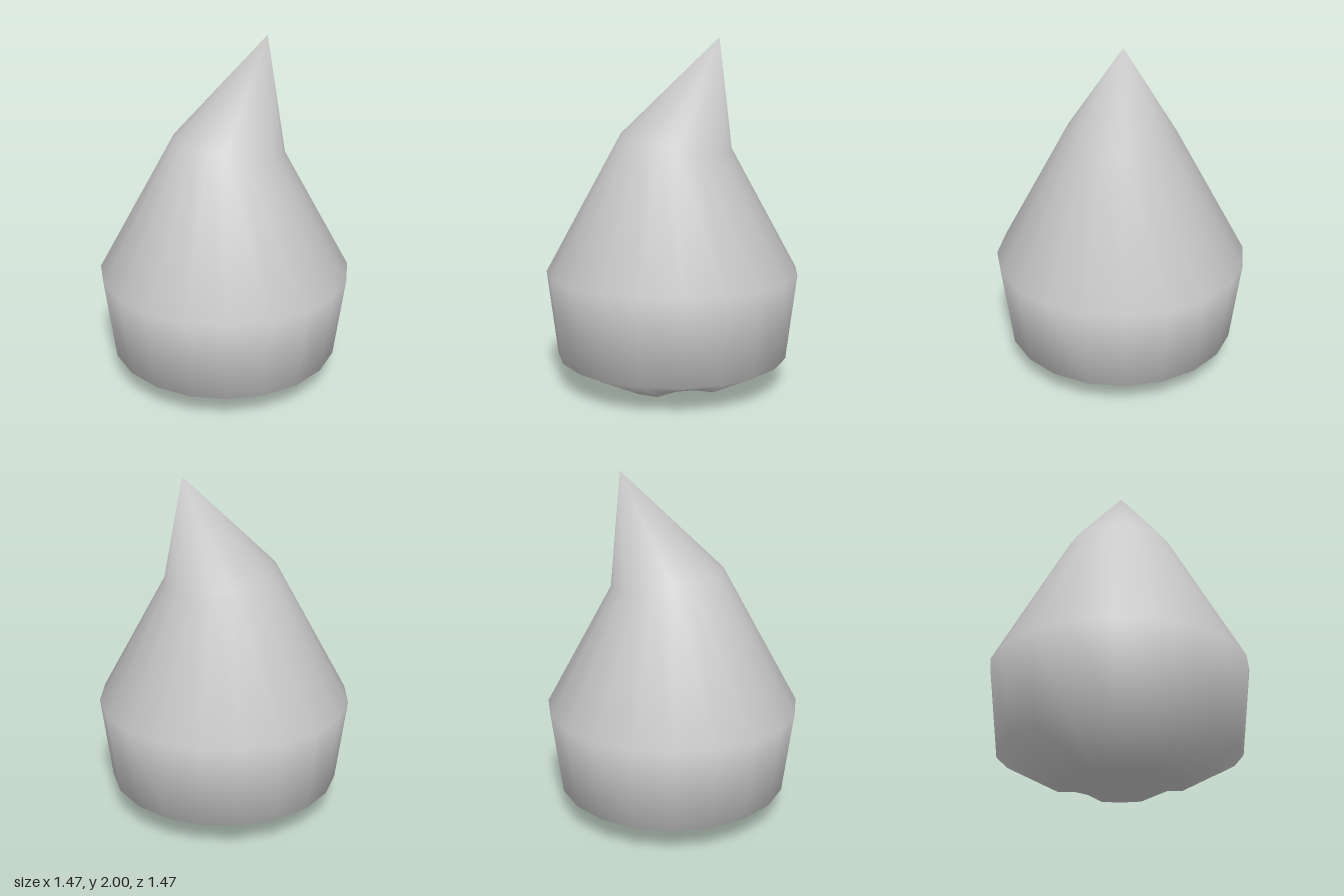
import * as THREE from 'three';

const SIDES = 20;

// Each ring maps an angle to [radius, height]
const rings = [
  // scalloped foot, with a shallow notch on each diagonal
  (a) => (Math.sin(2 * a) ** 2 > 0.6 ? [0.32, 0.02] : [0.36, 0]),
  () => [0.675, 0.165],
  () => [0.735, 0.66],
  // tilted shoulder ring lying on the cone
  (a) => {
    const c = Math.cos(a);
    const y = (1.42 - 0.19 * c) / (1 - 0.095 * c);
    return [0.5485 * (2 - y), y];
  },
];

export function createModel() {
  const positions = [];
  const index = [];

  for (const ring of rings) {
    for (let i = 0; i < SIDES; i++) {
      const a = (i / SIDES) * Math.PI * 2;
      const [r, y] = ring(a);
      positions.push(r * Math.cos(a), y, r * Math.sin(a));
    }
  }
  const base = rings.length * SIDES;
  const tip = base + 1;
  positions.push(0, 0.01, 0); // middle of the underside
  positions.push(0.305, 2, 0); // leaning tip

  const last = (rings.length - 1) * SIDES;
  for (let i = 0; i < SIDES; i++) {
    const j = (i + 1) % SIDES;
    // side walls
    for (let k = 0; k < last; k += SIDES) {
      index.push(k + i, k + SIDES + i, k + SIDES + j, k + i, k + SIDES + j, k + j);
    }
    index.push(last + i, tip, last + j); // bent point
    index.push(base, i, j); // underside
  }

  const geometry = new THREE.BufferGeometry();
  geometry.setAttribute('position', new THREE.Float32BufferAttribute(positions, 3));
  geometry.setIndex(index);
  geometry.computeVertexNormals();

  const body = new THREE.Mesh(
    geometry,
    new THREE.MeshStandardMaterial({ color: 0xcccccc, side: THREE.DoubleSide })
  );
  body.name = 'dropBody';

  const group = new THREE.Group();
  group.name = 'pointedDrop';
  group.add(body);
  return group;
}
